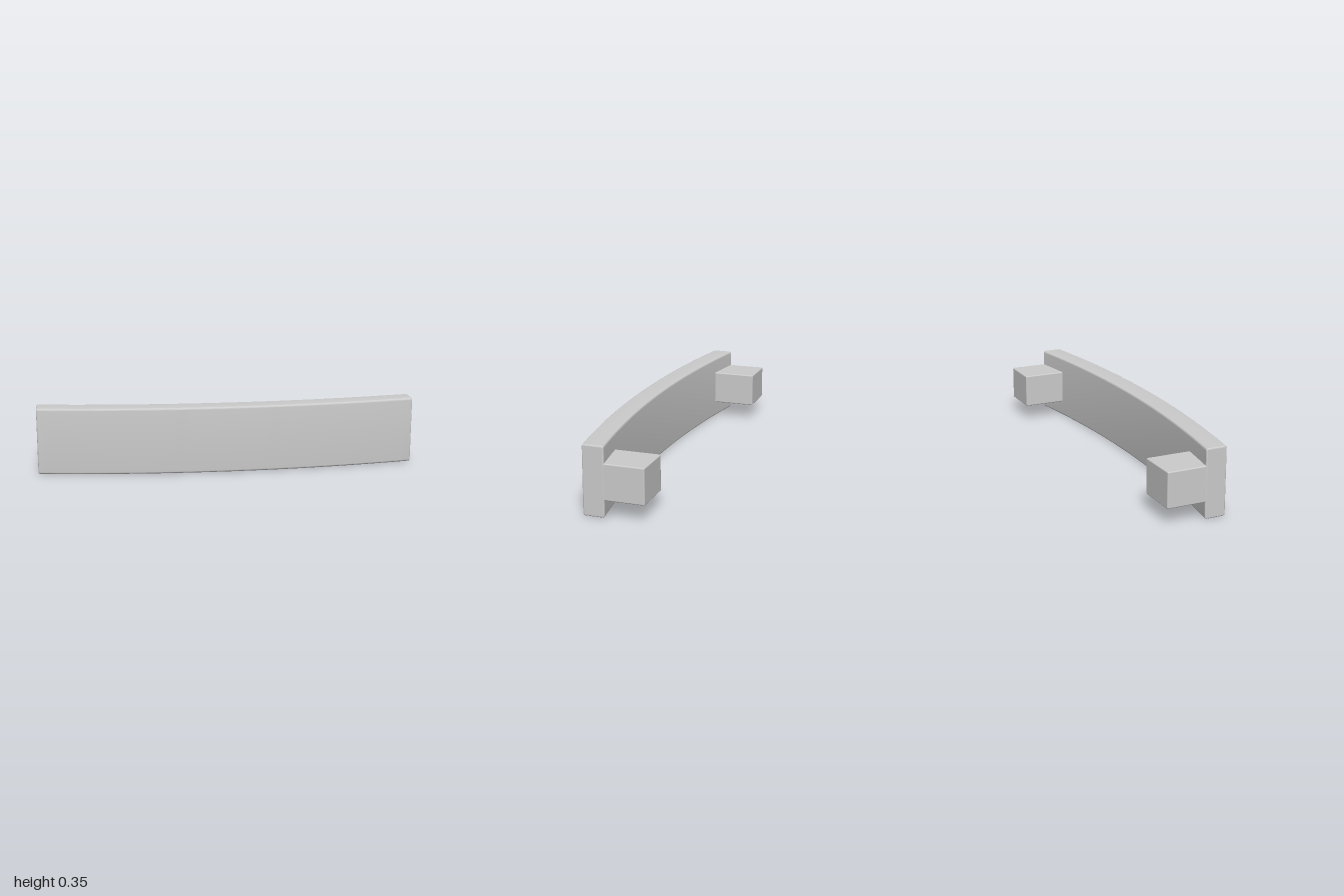
import * as THREE from 'three';
import { toCreasedNormals } from 'three/addons/utils/BufferGeometryUtils.js';
import { RoundedBoxGeometry } from 'three/addons/geometries/RoundedBoxGeometry.js';

const HEIGHT = 0.352, THICK = 0.11, DEPTH = 0.39, SAG = 0.08;

function roundedRect(w, h, r) {
  const s = new THREE.Shape(), x = w / 2 - r, y = h / 2 - r;
  s.absarc(x, y, r, 0, Math.PI / 2);
  s.absarc(-x, y, r, Math.PI / 2, Math.PI);
  s.absarc(-x, -y, r, Math.PI, Math.PI * 1.5);
  s.absarc(x, -y, r, Math.PI * 1.5, Math.PI * 2);
  s.closePath();
  return s;
}

// Rounded bar running along x, bowed forward in the middle
function bowedBar() {
  const bevel = 0.007;
  const geo = new THREE.ExtrudeGeometry(roundedRect(THICK, HEIGHT, 0.011), {
    depth: 2 - 2 * bevel, steps: 40, curveSegments: 4,
    bevelThickness: bevel, bevelSize: bevel, bevelOffset: -bevel, bevelSegments: 3,
  });
  geo.translate(0, 0, -(1 - bevel)).rotateY(Math.PI / 2);
  const p = geo.attributes.position;
  const frontMid = DEPTH / 2 - THICK / 2;
  for (let i = 0; i < p.count; i++) {
    p.setZ(i, p.getZ(i) + frontMid - SAG * p.getX(i) ** 2);
  }
  geo.translate(0, HEIGHT / 2, 0);
  return toCreasedNormals(geo, 0.2);
}

export function createModel() {
  const group = new THREE.Group();
  group.name = 'drawerHandle';
  const material = new THREE.MeshStandardMaterial({ color: 0xcccccc });

  const bar = new THREE.Mesh(bowedBar(), material);
  bar.name = 'gripBar';
  group.add(bar);

  // Mounting posts at both ends, set into the back of the bar
  const back = -DEPTH / 2, front = 0.06, width = 0.219;
  const postGeo = new RoundedBoxGeometry(width, 0.182, front - back, 3, 0.006);
  for (const side of [-1, 1]) {
    const post = new THREE.Mesh(postGeo, material);
    post.name = side > 0 ? 'leftPost' : 'rightPost';
    post.position.set(side * (0.999 - width / 2), 0.177, (front + back) / 2);
    group.add(post);
  }
  return group;
}
